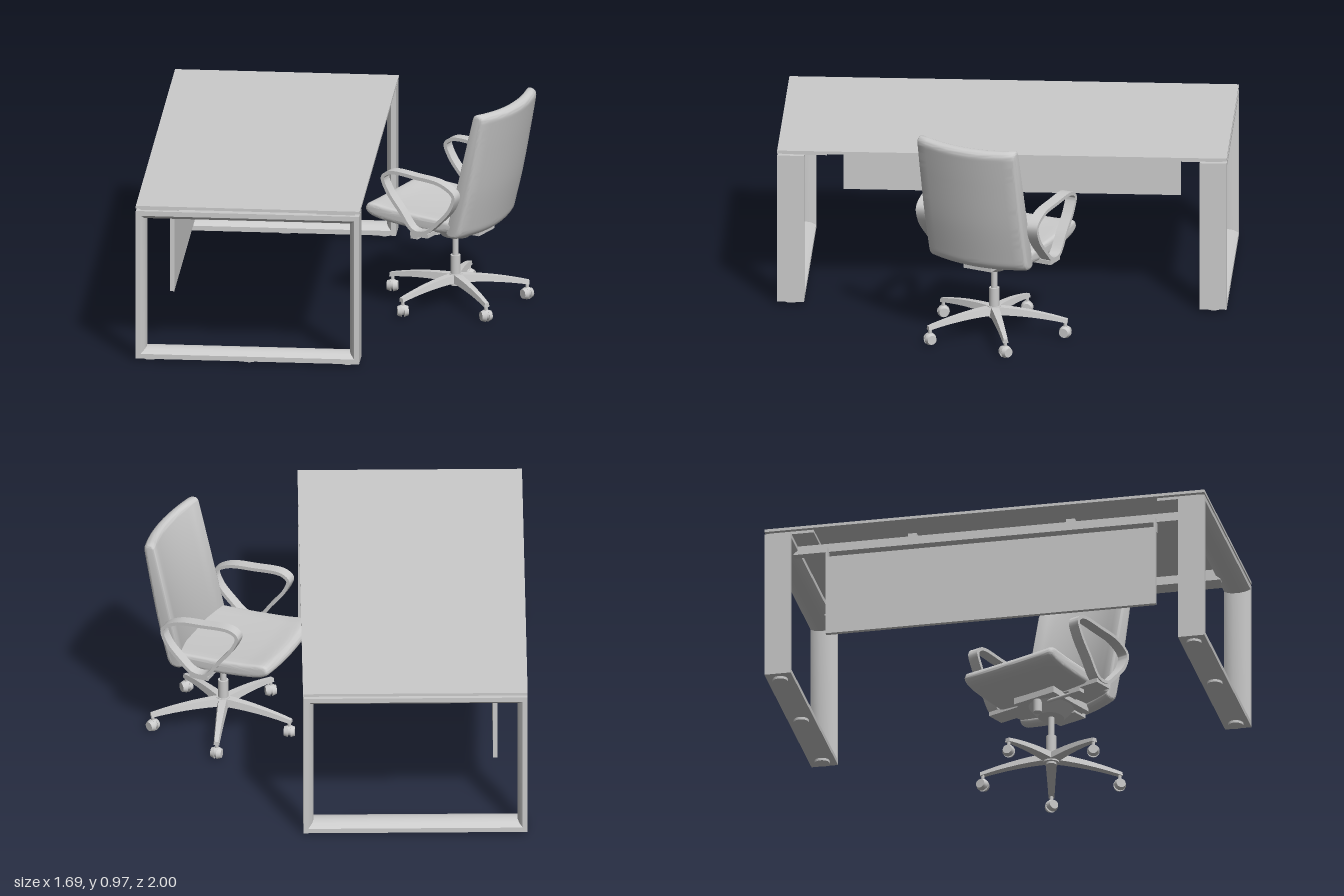
import * as THREE from 'three';
import { toCreasedNormals } from 'three/addons/utils/BufferGeometryUtils.js';

const grey = new THREE.MeshStandardMaterial({ color: 0xcccccc, side: THREE.DoubleSide });
const V2 = (p) => new THREE.Vector2(p[0], p[1]);

function add(parent, name, geometry, x = 0, y = 0, z = 0) {
  const mesh = new THREE.Mesh(geometry, grey);
  mesh.name = name;
  mesh.position.set(x, y, z);
  parent.add(mesh);
  return mesh;
}

// box given by its limits on each axis
function box(parent, name, [x0, x1], [y0, y1], [z0, z1]) {
  return add(parent, name, new THREE.BoxGeometry(x1 - x0, y1 - y0, z1 - z0),
    (x0 + x1) / 2, (y0 + y1) / 2, (z0 + z1) / 2);
}

function cyl(parent, name, rTop, rBottom, y0, y1, x = 0, z = 0, sides = 24) {
  return add(parent, name, new THREE.CylinderGeometry(rTop, rBottom, y1 - y0, sides), x, (y0 + y1) / 2, z);
}

function warp(geometry, rule) {
  const pos = geometry.attributes.position;
  const v = new THREE.Vector3();
  for (let i = 0; i < pos.count; i++) {
    rule(v.fromBufferAttribute(pos, i));
    pos.setXYZ(i, v.x, v.y, v.z);
  }
  return geometry;
}

// extrudes a side profile (forward, up) across the chair's width
function acrossWidth(shape, width, bevel, steps) {
  const depth = width - 2 * bevel;
  const g = new THREE.ExtrudeGeometry(shape, {
    depth, steps, bevelEnabled: bevel > 0, bevelSize: bevel, bevelThickness: bevel,
    bevelOffset: -bevel, bevelSegments: 4, curveSegments: 8,
  });
  return g.translate(0, 0, -depth / 2).rotateY(-Math.PI / 2);
}

// rectangular ring whose inner side swells towards the middle of its depth
function legFrameGeometry(x0, x1, y0, y1) {
  const profile = [[0, -0.06], [0, 0.06], [0.022, 0.06], [0.038, 0.04], [0.045, 0.015],
    [0.045, -0.015], [0.038, -0.04], [0.022, -0.06]];
  const corner = (i, j) => {
    const [d, z] = profile[j % profile.length];
    const right = i % 4 === 1 || i % 4 === 2;
    return [right ? x1 - d : x0 + d, i % 4 >= 2 ? y1 - d : y0 + d, z];
  };
  const out = [];
  for (let i = 0; i < 4; i++) {
    for (let j = 0; j < profile.length; j++) {
      const a = corner(i, j), b = corner(i + 1, j), c = corner(i + 1, j + 1), d = corner(i, j + 1);
      out.push(...a, ...b, ...c, ...a, ...c, ...d);
    }
  }
  const g = new THREE.BufferGeometry();
  g.setAttribute('position', new THREE.Float32BufferAttribute(out, 3));
  g.computeVertexNormals();
  return toCreasedNormals(g, 0.6);
}

function createDesk() {
  const desk = new THREE.Group();
  desk.name = 'desk';
  box(desk, 'deskTop', [-0.85, 0.148], [0.711, 0.724], [-1, 1]);
  for (const s of [-1, 1]) {
    add(desk, 'legFrame', legFrameGeometry(-0.85, 0.146, 0.012, 0.7), 0, 0, s * 0.94);
    for (const x of [-0.79, -0.35, 0.09]) cyl(desk, 'foot', 0.034, 0.034, 0, 0.014, x, s * 0.94);
    // plates that hold the top just above the frames
    for (const x of [-0.83, -0.045]) box(desk, 'spacerPlate', [x, x + 0.17], [0.698, 0.712], [s * 0.88 - 0.1, s * 0.88 + 0.1]);
    box(desk, 'panelBracket', [-0.72, -0.68], [0.61, 0.67], [s * 0.745 - 0.005, s * 0.745 + 0.005]);
  }
  for (const x of [-0.68, -0.03]) {
    box(desk, 'crossBeam', [x - 0.02, x + 0.02], [0.657, 0.697], [-0.9, 0.9]);
    for (const z of [-0.36, 0.36]) box(desk, 'beamSpacer', [x - 0.02, x + 0.02], [0.695, 0.712], [z - 0.02, z + 0.02]);
  }
  box(desk, 'modestyPanel', [-0.72, -0.7], [0.25, 0.625], [-0.75, 0.75]);
  return desk;
}

// strap loop: closed curve with a constant inward offset
function armrestGeometry() {
  const curve = new THREE.CatmullRomCurve3([
    [0.05, 0.4], [0.12, 0.485], [0.185, 0.57], [0.208, 0.635], [0.17, 0.667], [0.03, 0.664],
    [-0.1, 0.648], [-0.168, 0.6], [-0.15, 0.53], [-0.08, 0.45], [-0.02, 0.4],
  ].map(([w, y]) => new THREE.Vector3(w, y, 0)), true);
  const outer = [], inner = [];
  for (let i = 0; i < 60; i++) {
    const p = curve.getPoint(i / 60), t = curve.getTangent(i / 60);
    outer.push(new THREE.Vector2(p.x, p.y));
    inner.push(new THREE.Vector2(p.x - t.y * 0.016, p.y + t.x * 0.016));
  }
  const shape = new THREE.Shape(outer);
  shape.holes.push(new THREE.Path(inner));
  return toCreasedNormals(acrossWidth(shape, 0.05, 0, 1), 0.6);
}

function createCastor() {
  const castor = new THREE.Group();
  castor.name = 'castor';
  for (const s of [-1, 1]) {
    const wheel = add(castor, 'wheel', new THREE.CylinderGeometry(0.021, 0.028, 0.019, 20), s * 0.015, 0.028, 0);
    wheel.rotation.z = -s * Math.PI / 2;
  }
  const hood = add(castor, 'castorHood', new THREE.CylinderGeometry(0.024, 0.024, 0.014, 16), 0, 0.033, 0);
  hood.rotation.z = Math.PI / 2;
  cyl(castor, 'castorStem', 0.008, 0.008, 0.045, 0.085, 0, 0, 12);
  return castor;
}

function createBase() {
  const base = new THREE.Group();
  base.name = 'starBase';
  // arched leg tapering from hub to tip
  const leg = toCreasedNormals(warp(new THREE.BoxGeometry(1, 1, 1, 10, 1, 1), (v) => {
    const t = v.x + 0.5;
    const flare = v.y > 0 ? 0.7 : 1;
    v.set(0.01 + 0.32 * t, 0.115 - 0.035 * t * t + v.y * (0.036 - 0.018 * t), v.z * (0.052 - 0.026 * t) * flare);
  }), 0.6);
  for (let i = 0; i < 5; i++) {
    const arm = new THREE.Group();
    arm.name = 'baseArm';
    arm.rotation.y = (12 - 72 * i) * Math.PI / 180;
    add(arm, 'baseLeg', leg);
    const castor = createCastor();
    castor.position.x = 0.32;
    castor.rotation.y = 0.5 + i;
    arm.add(castor);
    base.add(arm);
  }
  cyl(base, 'hub', 0.03, 0.036, 0.09, 0.135);
  cyl(base, 'columnSleeve', 0.023, 0.023, 0.08, 0.22);
  cyl(base, 'gasColumn', 0.014, 0.014, 0.21, 0.34);
  return base;
}

function createSeating() {
  const seating = new THREE.Group();
  seating.name = 'seating';
  // seat cushion, slightly dished, with a rounded front edge
  const seatShape = new THREE.Shape().moveTo(-0.13, 0.455);
  seatShape.lineTo(-0.13, 0.405);
  seatShape.splineThru([[0, 0.393], [0.18, 0.403], [0.28, 0.418], [0.32, 0.44], [0.322, 0.465],
    [0.295, 0.482], [0.2, 0.472], [0.05, 0.462], [-0.13, 0.455]].map(V2));
  const seat = warp(acrossWidth(seatShape, 0.49, 0.018, 10), (v) => {
    const mid = 1 - (v.x / 0.245) ** 2;
    v.y -= 0.01 * mid;
    v.z += 0.012 * mid * Math.max(0, v.z / 0.32);
  });
  add(seating, 'seat', toCreasedNormals(seat, 0.7));

  // reclined backrest, bowed backwards across its width
  const backShape = new THREE.Shape().moveTo(-0.085, 0.4);
  backShape.lineTo(-0.222, 0.955);
  backShape.quadraticCurveTo(-0.228, 0.978, -0.25, 0.975);
  backShape.quadraticCurveTo(-0.282, 0.97, -0.275, 0.935);
  backShape.splineThru([[-0.25, 0.8], [-0.21, 0.6], [-0.165, 0.42]].map(V2));
  backShape.quadraticCurveTo(-0.155, 0.38, -0.12, 0.378);
  backShape.quadraticCurveTo(-0.09, 0.378, -0.085, 0.4);
  const back = warp(acrossWidth(backShape, 0.49, 0.014, 12), (v) => {
    const mid = 1 - (v.x / 0.245) ** 2;
    v.z -= 0.038 * mid;
    v.y -= 0.01 * mid;
  });
  add(seating, 'backrest', toCreasedNormals(back, 0.7));

  const loop = armrestGeometry();
  for (const s of [-1, 1]) add(seating, 'armrest', loop, s * 0.28, 0, 0);
  box(seating, 'armrestBar', [-0.3, 0.3], [0.382, 0.402], [-0.03, 0.06]);

  // tilt mechanism under the seat
  box(seating, 'seatPlate', [-0.11, 0.11], [0.36, 0.392], [-0.13, 0.13]);
  const housing = cyl(seating, 'tiltHousing', 0.1, 0.055, 0.312, 0.365);
  housing.scale.z = 1.15;
  box(seating, 'backBracket', [-0.07, 0.07], [0.35, 0.385], [-0.16, -0.08]);
  const lever = add(seating, 'tiltLever', new THREE.CylinderGeometry(0.008, 0.008, 0.2, 12), 0.12, 0.352, 0.08);
  lever.rotation.z = Math.PI / 2;
  box(seating, 'leverHandle', [0.17, 0.23], [0.344, 0.362], [0.062, 0.098]);
  cyl(seating, 'tensionKnob', 0.02, 0.02, 0.302, 0.36, 0, 0.1, 16);
  return seating;
}

export function createModel() {
  const model = new THREE.Group();
  model.name = 'deskAndChair';
  model.add(createDesk());
  const chair = new THREE.Group();
  chair.name = 'officeChair';
  chair.position.set(0.49, 0, 0.015);
  const seating = createSeating();
  seating.rotation.y = -2.005; // swivelled towards the desk
  chair.add(createBase(), seating);
  model.add(chair);
  return model;
}
